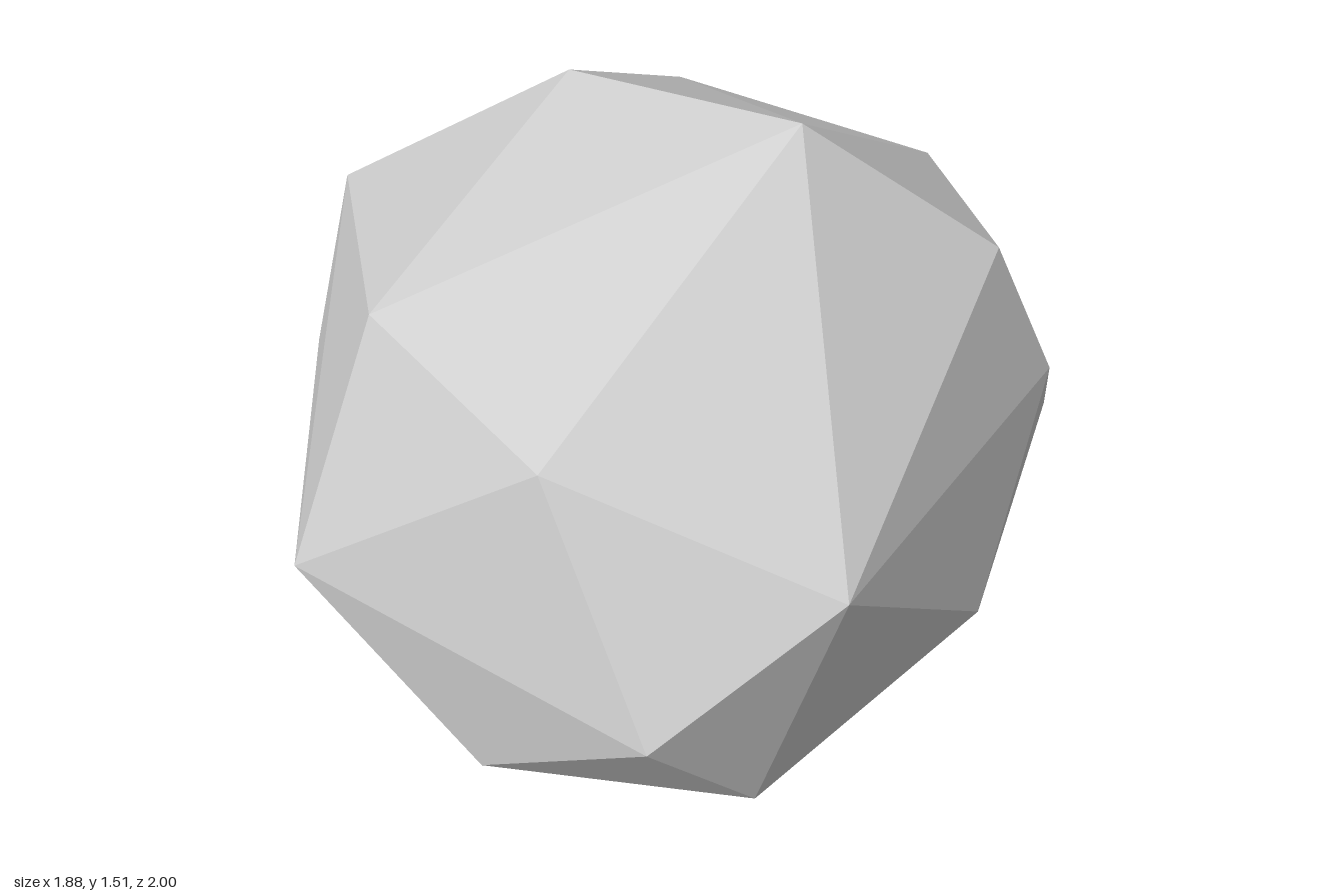
import * as THREE from 'three';
import { ConvexGeometry } from 'three/addons/geometries/ConvexGeometry.js';

export function createModel() {
  const group = new THREE.Group();
  group.name = 'rock';

  // Corners of the faceted boulder, as x, y, z
  const corners = [
    // crown
    [0.28, 1.515, 0.14], [-0.24, 1.455, -0.225],
    // shoulder ring
    [0.75, 1.155, 0.06], [0.655, 1.08, -0.51], [0.015, 1.115, -0.86],
    [-0.815, 1.1, -0.345], [-0.65, 1.155, 0.345], [-0.26, 1.05, 0.755],
    // waist ring
    [0.375, 0.78, 0.84], [-0.04, 0.495, 1.0], [-0.84, 0.62, 0.565],
    [-0.945, 0.6, -0.335], [-0.34, 0.52, -1.0], [0.595, 0.36, -0.755],
    // blunt tip on the left flank
    [0.94, 0.7, -0.12], [0.94, 0.73, -0.055], [0.94, 0.62, -0.055],
    // base ring
    [0.78, 0.185, 0.25], [0.455, 0, 0.265], [0.205, 0.055, 0.745],
    [-0.43, 0.17, 0.75], [-0.82, 0.09, -0.295], [-0.315, 0.155, -0.825],
  ].map((p) => new THREE.Vector3(...p));

  const boulder = new THREE.Mesh(
    new ConvexGeometry(corners),
    new THREE.MeshStandardMaterial({ color: 0xcccccc, flatShading: true })
  );
  boulder.name = 'boulder';
  group.add(boulder);
  return group;
}
